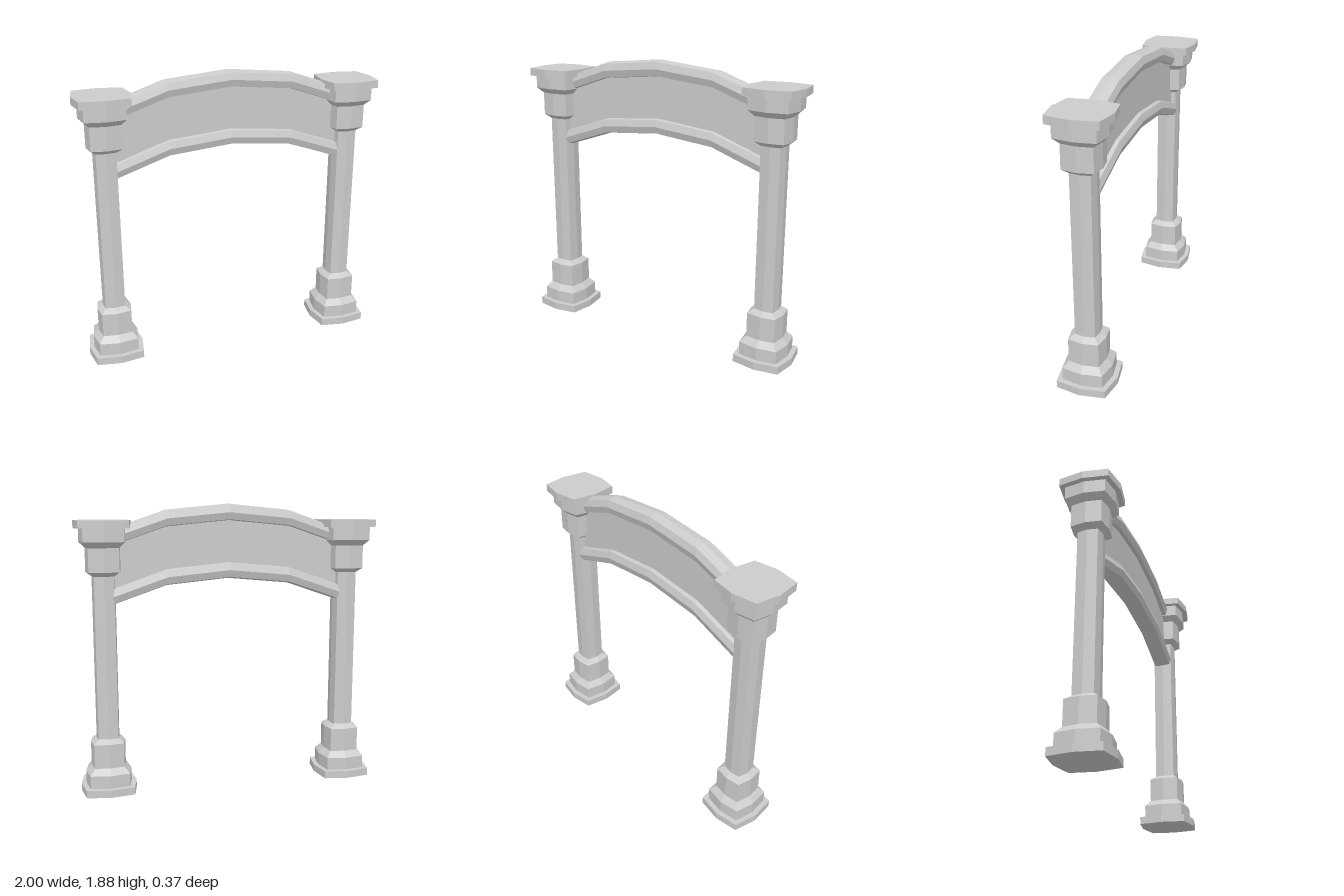
import * as THREE from 'three';

const material = new THREE.MeshStandardMaterial({ color: 0xcccccc, flatShading: true });

// Arch stations: x and height of the lower rail's centre line
const stations = [[-0.76, 1.296], [-0.41, 1.416], [0, 1.455], [0.41, 1.416], [0.76, 1.296]];
const RAIL_GAP = 0.373;
const ARCH_Z = -0.004;

// Eight-sided cushion outline: push the diagonal corners of an octagon outwards
const cushion = (a, b, corner) =>
  Math.abs(Math.abs(a) - Math.abs(b)) < 1e-4 ? corner / Math.SQRT1_2 : 1;

function makePillarGeometry() {
  // Half-width and height, from the foot slab to the top slab
  const profile = [
    [0, 0], [0.183, 0], [0.183, 0.05], [0.15, 0.05], [0.15, 0.135],
    [0.113, 0.175], [0.113, 0.335], [0.075, 0.362], [0.075, 1.427],
    [0.113, 1.455], [0.113, 1.608], [0.15, 1.645], [0.15, 1.73],
    [0.183, 1.73], [0.183, 1.78], [0, 1.78],
  ].map(([r, y]) => new THREE.Vector2(r, y));
  const geometry = new THREE.LatheGeometry(profile, 8);
  const p = geometry.attributes.position;
  for (let i = 0; i < p.count; i++) {
    const x = p.getX(i), z = p.getZ(i), k = cushion(x, z, 0.86);
    p.setXYZ(i, x * k, p.getY(i), z * k * 1.015);
  }
  geometry.computeVertexNormals();
  return geometry;
}

function makeRailGeometry(lift) {
  const geometry = new THREE.CylinderGeometry(1, 1, 4, 8, 4).rotateZ(Math.PI / 2);
  const p = geometry.attributes.position;
  for (let i = 0; i < p.count; i++) {
    const [x, y] = stations[Math.round(p.getX(i)) + 2];
    const v = p.getY(i), w = p.getZ(i), k = cushion(v, w, 0.8);
    p.setXYZ(i, x, y + lift + v * k * 0.056, w * k * 0.07 + ARCH_Z);
  }
  geometry.computeVertexNormals();
  return geometry;
}

function makePanelGeometry() {
  const outline = [
    ...stations.map(([x, y]) => new THREE.Vector2(x, y)),
    ...stations.map(([x, y]) => new THREE.Vector2(x, y + RAIL_GAP)).reverse(),
  ];
  const depth = 0.06;
  return new THREE.ExtrudeGeometry(new THREE.Shape(outline), { depth, bevelEnabled: false })
    .translate(0, 0, ARCH_Z - depth / 2);
}

export function createModel() {
  const model = new THREE.Group();
  model.name = 'archway';
  const add = (name, geometry, x = 0) => {
    const mesh = new THREE.Mesh(geometry, material);
    mesh.name = name;
    mesh.position.x = x;
    model.add(mesh);
  };

  // Matching pillars
  const pillar = makePillarGeometry();
  add('leftPillar', pillar, 0.817);
  add('rightPillar', pillar, -0.817);

  // Arched span: a thin panel between two rails
  add('lowerRail', makeRailGeometry(0));
  add('upperRail', makeRailGeometry(RAIL_GAP));
  add('archPanel', makePanelGeometry());
  return model;
}
